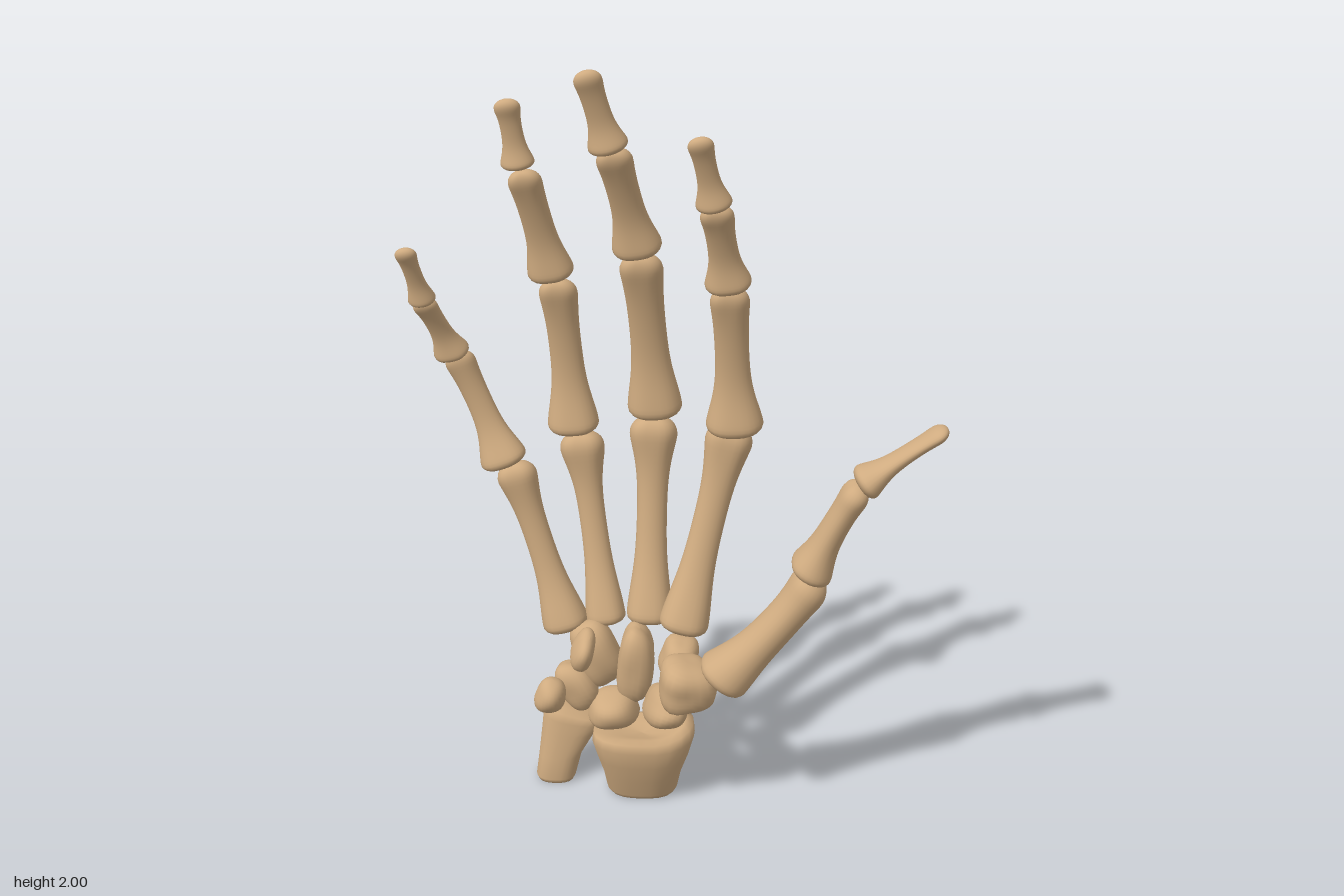
import * as THREE from 'three';

const V = (p) => new THREE.Vector3(...p);
const SIDES = 24;

// Smooth skin over rings of points; every ring has SIDES points
function skin(rings) {
  const pos = [], idx = [];
  rings.forEach((ring) => ring.forEach((p) => pos.push(p.x, p.y, p.z)));
  for (let i = 0; i < rings.length - 1; i++) {
    for (let j = 0; j < SIDES; j++) {
      const k = (j + 1) % SIDES;
      const a = i * SIDES + j, b = i * SIDES + k, c = b + SIDES, d = a + SIDES;
      idx.push(a, b, c, a, c, d);
    }
  }
  const g = new THREE.BufferGeometry();
  g.setAttribute('position', new THREE.Float32BufferAttribute(pos, 3));
  g.setIndex(idx);
  g.computeVertexNormals();
  return g;
}

// Long bone from a to b: wide base, slim shaft, rounded two-lobed head
function longBone({ a, b, base, shaft, head, bow = 0, depth = 0.85, tipDepth = depth, side = [1, 0, 0], notch = 0.2 }) {
  const A = V(a), B = V(b), d = B.clone().sub(A), len = d.length();
  d.normalize();
  const u = V(side);
  u.addScaledVector(d, -u.dot(d)).normalize();
  const v = d.clone().cross(u); // points to the back of the hand
  const baseCap = Math.min(0.3, base * 0.5 / len), headCap = Math.min(0.3, head * 0.95 / len);
  const cap = (s, p) => Math.pow(Math.max(0, 1 - Math.pow(1 - Math.min(1, s), p)), 1 / p);
  const rings = [], N = 36;
  for (let i = 0; i <= N; i++) {
    const t = (1 - Math.cos(Math.PI * i / N)) / 2;
    const g0 = Math.exp(-Math.pow(t / 0.25, 2));
    const g1 = Math.exp(-Math.pow((1 - t) / 0.2, 2));
    const end = Math.max(0.002, cap(t / baseCap, 2.6) * cap((1 - t) / headCap, 2.2));
    const w = (shaft + (base - shaft) * g0 + (head - shaft) * g1) * end;
    const k = depth + (tipDepth - depth) * t;
    const c = A.clone().lerp(B, t).addScaledVector(v, bow * 4 * t * (1 - t));
    const ring = [];
    for (let j = 0; j < SIDES; j++) {
      const ang = j / SIDES * Math.PI * 2, s = Math.sin(ang);
      const dip = 1 - notch * (g1 + 0.5 * g0) * Math.pow(s, 6);
      const palm = s < 0 ? 1 - 0.15 * (1 - g0) * (1 - g1) : 1;
      ring.push(c.clone().addScaledVector(u, w * Math.cos(ang)).addScaledVector(v, w * k * s * dip * palm));
    }
    rings.push(ring);
  }
  return skin(rings);
}

// Cut forearm bone: rows of [x, y, z, half width, half depth], then a rule that shapes the top
function stump(rows, topRule) {
  return skin(rows.map(([x, y, z, rx, rz], i) => Array.from({ length: SIDES }, (_, j) => {
    const ang = -j / SIDES * Math.PI * 2, c = Math.cos(ang), s = Math.sin(ang);
    const box = Math.pow(Math.pow(Math.abs(c), 2.7) + Math.pow(Math.abs(s), 2.7), -1 / 2.7);
    const p = new THREE.Vector3(x + rx * c * box, y, z + rz * s * box);
    p.y += topRule(p.x, p.z, i / (rows.length - 1));
    return p;
  })));
}

// Small wrist bone: a softened block with shallow hollows
function pebble([sx, sy, sz], power, phase) {
  const g = new THREE.SphereGeometry(1, 24, 18), P = g.attributes.position, p = new THREE.Vector3();
  for (let i = 0; i < P.count; i++) {
    p.fromBufferAttribute(P, i);
    const n = Math.pow(Math.abs(p.x) ** power + Math.abs(p.y) ** power + Math.abs(p.z) ** power, -1 / power);
    const hollow = 1 + 0.08 * Math.sin(2.6 * p.x + phase) * Math.cos(2.9 * p.y - phase) + 0.06 * Math.sin(3.1 * p.z + 2 * phase);
    p.multiplyScalar(n * hollow);
    P.setXYZ(i, p.x * sx, p.y * sy, p.z * sz);
  }
  g.computeVertexNormals();
  return g;
}

export function createModel() {
  const model = new THREE.Group();
  const bone = new THREE.MeshStandardMaterial({ color: 0xcfab80 });
  bone.name = 'bone';
  const add = (parent, name, geometry) => {
    const m = new THREE.Mesh(geometry, bone);
    m.name = name;
    parent.add(m);
    return m;
  };
  const parts = ['Metacarpal', 'ProximalPhalanx', 'MiddlePhalanx', 'DistalPhalanx'];

  // Fingers, each bone as [start, end, base, shaft, head half widths, bow]
  const fingers = {
    index: [
      [[0.02, 0.49, -0.03], [0.15, 1.06, -0.14], 0.068, 0.042, 0.068, 0.015],
      [[0.155, 1.045, -0.105], [0.135, 1.46, -0.04], 0.078, 0.043, 0.052, 0.015],
      [[0.135, 1.455, -0.04], [0.1, 1.685, 0.05], 0.062, 0.036, 0.045, 0.008],
      [[0.1, 1.68, 0.05], [0.062, 1.86, 0.11], 0.047, 0.026, 0.034, 0.004]],
    middle: [
      [[-0.07, 0.49, -0.08], [-0.06, 1.06, -0.185], 0.063, 0.04, 0.07, 0.015],
      [[-0.055, 1.06, -0.185], [-0.088, 1.525, -0.095], 0.074, 0.047, 0.058, 0.018],
      [[-0.09, 1.525, -0.1], [-0.145, 1.81, 0.015], 0.066, 0.04, 0.047, 0.01],
      [[-0.148, 1.805, 0.015], [-0.198, 2.0, 0.068], 0.052, 0.03, 0.037, 0.004]],
    ring: [
      [[-0.185, 0.49, -0.07], [-0.255, 1.02, -0.165], 0.055, 0.035, 0.066, 0.015],
      [[-0.27, 1.015, -0.165], [-0.3, 1.45, -0.12], 0.07, 0.042, 0.052, 0.022],
      [[-0.31, 1.45, -0.13], [-0.365, 1.745, -0.035], 0.062, 0.038, 0.044, 0.01],
      [[-0.372, 1.75, -0.04], [-0.392, 1.92, -0.008], 0.044, 0.026, 0.037, 0.004]],
    little: [
      [[-0.29, 0.475, -0.06], [-0.43, 0.95, -0.11], 0.064, 0.036, 0.058, 0.01],
      [[-0.445, 0.94, -0.105], [-0.565, 1.255, -0.115], 0.066, 0.034, 0.042, 0.016],
      [[-0.568, 1.245, -0.11], [-0.625, 1.42, -0.025], 0.051, 0.028, 0.034, 0.008],
      [[-0.62, 1.415, -0.025], [-0.645, 1.572, 0.045], 0.037, 0.022, 0.03, 0.003]],
  };
  for (const [finger, rows] of Object.entries(fingers)) {
    const group = new THREE.Group();
    group.name = finger + 'Finger';
    rows.forEach(([a, b, base, shaft, head, bow], i) => add(group, finger + parts[i], longBone({
      a, b, base, shaft, head, bow,
      depth: i === 0 ? 0.95 : 0.82, tipDepth: [0.9, 0.75, 0.7, 0.6][i], notch: i === 3 ? 0 : 0.2,
    })));
    model.add(group);
  }

  // Thumb, turned so its flat side faces across the palm
  const thumb = new THREE.Group();
  thumb.name = 'thumb';
  const across = { side: [0, 0, 1] };
  add(thumb, 'thumbMetacarpal', longBone({ ...across, a: [0.115, 0.445, 0.14], b: [0.375, 0.765, 0.125], base: 0.08, shaft: 0.057, head: 0.072, bow: 0.012, depth: 1, tipDepth: 0.85 }));
  add(thumb, 'thumbProximalPhalanx', longBone({ ...across, a: [0.345, 0.765, 0.145], b: [0.468, 1.035, 0.172], base: 0.072, shaft: 0.045, head: 0.056, bow: -0.008, depth: 0.9, tipDepth: 0.75 }));
  add(thumb, 'thumbDistalPhalanx', longBone({ ...across, a: [0.46, 1.03, 0.175], b: [0.665, 1.18, 0.16], base: 0.064, shaft: 0.036, head: 0.043, bow: -0.004, depth: 0.75, tipDepth: 0.45, notch: 0 }));
  model.add(thumb);

  // Wrist: [name, position, half sizes, rotation, squareness]
  const wrist = new THREE.Group();
  wrist.name = 'wrist';
  [
    ['trapezium', [0.035, 0.425, 0.115], [0.07, 0.066, 0.075], [0.2, 0.3, -0.1], 3.2],
    ['trapezoid', [0.015, 0.425, -0.005], [0.05, 0.055, 0.06], [0, 0, -0.2], 3],
    ['capitate', [-0.105, 0.395, -0.03], [0.05, 0.115, 0.065], [0.1, 0, -0.12], 2.8],
    ['hamate', [-0.21, 0.42, -0.035], [0.058, 0.095, 0.055], [0, 0, 0.4], 2.7],
    ['hamateHook', [-0.24, 0.47, 0.045], [0.03, 0.055, 0.055], [0.3, 0, -0.4], 2.3],
    ['scaphoid', [-0.025, 0.315, 0.06], [0.05, 0.055, 0.115], [-0.35, 0.3, -0.3], 2.4],
    ['lunate', [-0.165, 0.265, 0.01], [0.068, 0.052, 0.068], [0, 0, 0.1], 2.4],
    ['triquetrum', [-0.265, 0.325, -0.025], [0.05, 0.072, 0.052], [0, 0, 0.45], 2.5],
    ['pisiform', [-0.328, 0.345, 0.073], [0.04, 0.05, 0.048], [0, 0, -0.2], 2.1],
  ].forEach(([name, at, size, turn, power], i) => {
    const m = add(wrist, name, pebble(size, power, i * 1.3));
    m.position.set(...at);
    m.rotation.set(...turn);
  });
  model.add(wrist);

  // Forearm ends, with a hollow cut face below and a cupped joint above
  add(model, 'radius', stump([
    [-0.088, 0.035, -0.02, 0.001, 0.001], [-0.088, 0.035, -0.02, 0.04, 0.035], [-0.088, 0.008, -0.02, 0.065, 0.05],
    [-0.088, 0, -0.02, 0.09, 0.068], [-0.088, 0.014, -0.02, 0.099, 0.077], [-0.087, 0.07, -0.01, 0.108, 0.084],
    [-0.084, 0.13, 0.005, 0.126, 0.092], [-0.082, 0.18, 0.01, 0.141, 0.096], [-0.082, 0.205, 0.01, 0.137, 0.092],
    [-0.085, 0.212, 0.01, 0.115, 0.075], [-0.085, 0.198, 0.01, 0.06, 0.04], [-0.085, 0.192, 0.01, 0.001, 0.001],
  ], (x, z, t) => t < 0.45 ? 0 : (t - 0.45) * (0.12 * Math.max(0, (x + 0.06) / 0.12) ** 2 + 0.15 * z)));
  add(model, 'ulna', stump([
    [-0.335, 0.035, -0.06, 0.001, 0.001], [-0.335, 0.035, -0.06, 0.022, 0.022], [-0.335, 0.008, -0.06, 0.038, 0.036],
    [-0.335, 0, -0.06, 0.05, 0.046], [-0.335, 0.014, -0.06, 0.056, 0.052], [-0.322, 0.08, -0.068, 0.06, 0.055],
    [-0.298, 0.15, -0.08, 0.075, 0.06], [-0.285, 0.19, -0.082, 0.083, 0.061], [-0.283, 0.213, -0.082, 0.075, 0.056],
    [-0.285, 0.222, -0.082, 0.045, 0.035], [-0.285, 0.222, -0.082, 0.001, 0.001],
  ], (x, z, t) => t < 0.5 ? 0 : (t - 0.5) * -0.9 * (x + 0.285)));

  return model;
}
